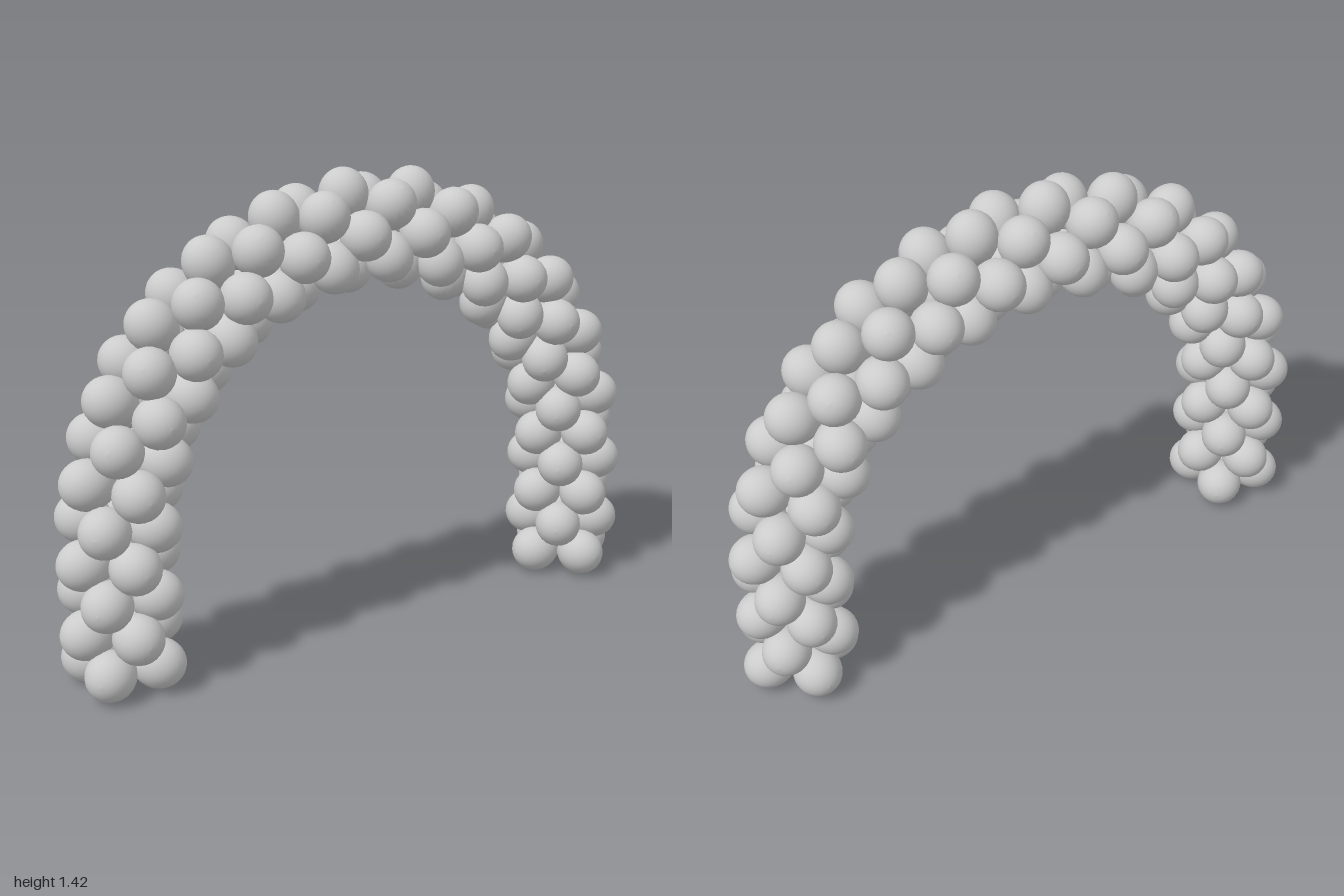
import * as THREE from 'three';

const ARC = 0.814;        // radius of the semicircular part
const SPRING = 0.43;      // height where the legs meet the arc
const FOOT = 0.078;       // height of the lowest cluster
const CLUSTERS = 32;

// Balloon along +y: knotted neck near the origin, round crown at the outer end
function balloonGeometry() {
  const centre = 0.107, crown = 0.078, girth = 0.0735, tail = 0.087;
  const points = [new THREE.Vector2(0.001, 0.012), new THREE.Vector2(0.012, 0.014)];
  const steps = 16;
  for (let i = 1; i <= steps; i++) {
    const a = -Math.PI / 2 + (Math.PI * i) / steps;
    const y = Math.sin(a);
    // the inner end is drawn out slightly towards the neck
    points.push(new THREE.Vector2(
      Math.max(girth * Math.cos(a), 0.00001),
      centre + y * (y < 0 ? THREE.MathUtils.lerp(crown, tail, y * y) : crown)));
  }
  return new THREE.LatheGeometry(points, 24);
}

// Point and outward normal at distance s from the foot at +x
function archFrame(s) {
  const leg = SPRING - FOOT;
  const arcLength = Math.PI * ARC;
  const a = THREE.MathUtils.clamp((s - leg) / ARC, 0, Math.PI);
  const normal = new THREE.Vector3(Math.cos(a), Math.sin(a), 0);
  const point = normal.clone().multiplyScalar(ARC);
  point.y += SPRING;
  if (s < leg) point.y = FOOT + s;
  if (s > leg + arcLength) point.y = SPRING - (s - leg - arcLength);
  return { point, normal };
}

export function createModel() {
  const arch = new THREE.Group();
  arch.name = 'balloonArch';
  const geometry = balloonGeometry();
  const material = new THREE.MeshStandardMaterial({ color: 0xcccccc });
  const up = new THREE.Vector3(0, 1, 0);
  const total = Math.PI * ARC + 2 * (SPRING - FOOT);

  for (let i = 0; i < CLUSTERS; i++) {
    const { point, normal } = archFrame((total * i) / (CLUSTERS - 1));
    const cluster = new THREE.Group();
    cluster.name = 'balloonCluster';
    cluster.position.copy(point);

    // four balloons per cluster, every other cluster turned by an eighth
    for (let k = 0; k < 4; k++) {
      const a = (k * Math.PI) / 2 + (i % 2) * (Math.PI / 4);
      const direction = normal.clone().multiplyScalar(Math.cos(a));
      direction.z = Math.sin(a);
      const balloon = new THREE.Mesh(geometry, material);
      balloon.name = 'balloon';
      balloon.quaternion.setFromUnitVectors(up, direction.normalize());
      cluster.add(balloon);
    }
    arch.add(cluster);
  }
  return arch;
}
